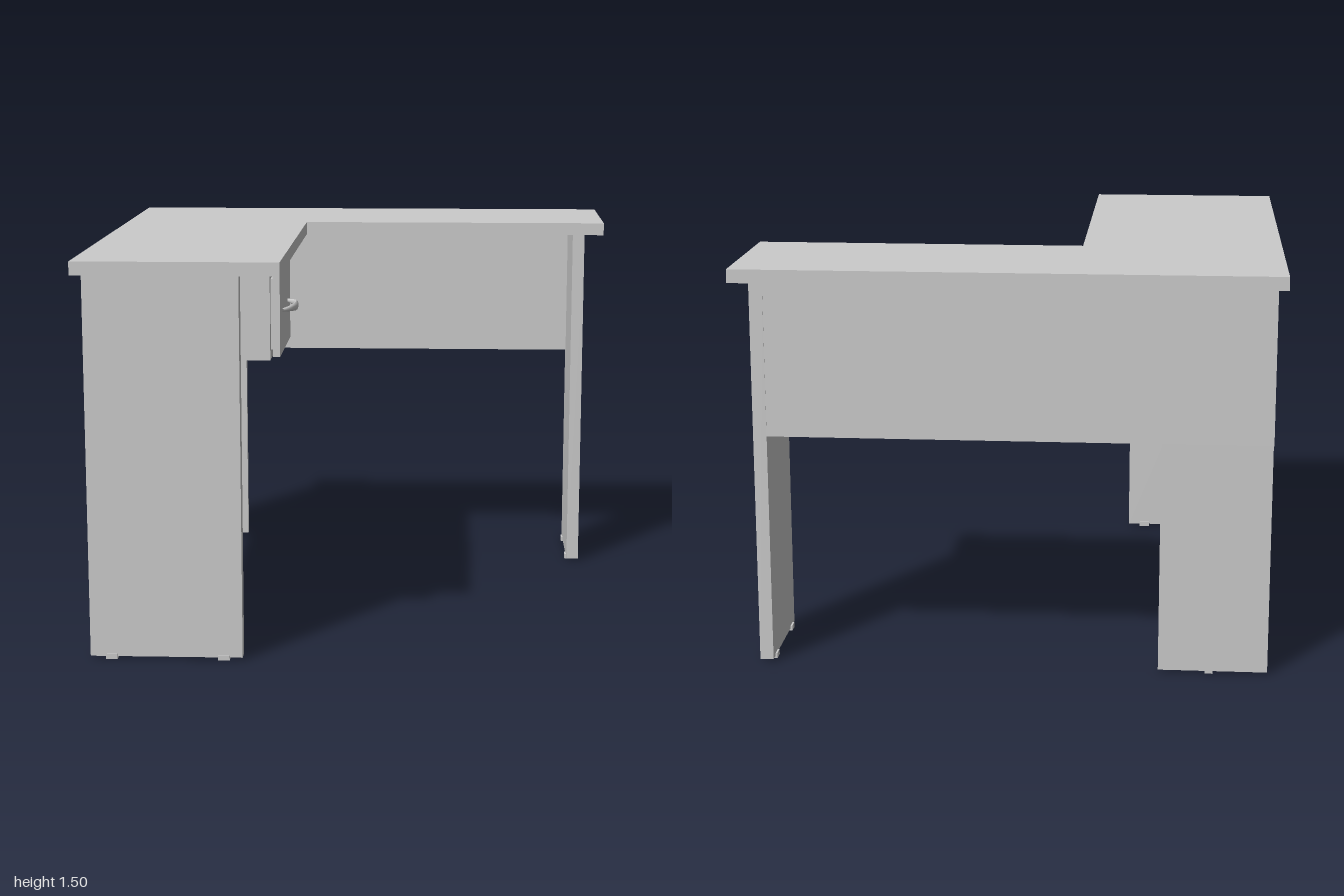
import * as THREE from 'three';

const grey = new THREE.MeshStandardMaterial({ color: 0xcccccc });

// Box given by its minimum and maximum on each axis
function board(group, name, [x0, x1], [y0, y1], [z0, z1]) {
  const mesh = new THREE.Mesh(new THREE.BoxGeometry(x1 - x0, y1 - y0, z1 - z0), grey);
  mesh.position.set((x0 + x1) / 2, (y0 + y1) / 2, (z0 + z1) / 2);
  mesh.name = name;
  group.add(mesh);
}

// L-shaped worktop
function worktop() {
  const outline = [[-1, -1], [1, -1], [1, -0.395], [-0.245, -0.395], [-0.245, 1], [-1, 1]];
  const shape = new THREE.Shape(outline.map(([x, z]) => new THREE.Vector2(x, -z)));
  const geometry = new THREE.ExtrudeGeometry(shape, { depth: 0.05, bevelEnabled: false });
  geometry.rotateX(-Math.PI / 2);
  const mesh = new THREE.Mesh(geometry, grey);
  mesh.position.y = 1.45;
  mesh.name = 'worktop';
  return mesh;
}

// Bowed drawer pull, deepest in the middle and tapering to its ends
function drawerHandle() {
  const bow = new THREE.QuadraticBezierCurve3(
    new THREE.Vector3(-0.257, 0, 0.49),
    new THREE.Vector3(-0.173, 0, 0.62),
    new THREE.Vector3(-0.257, 0, 0.75)
  );
  const geometry = new THREE.TubeGeometry(bow, 24, 0.008, 10);
  const pos = geometry.attributes.position;
  for (let i = 0; i < pos.count; i++) {
    const t = Math.min(1, Math.abs(pos.getZ(i) - 0.62) / 0.13);
    pos.setY(i, pos.getY(i) * (2.3 - 1.5 * t));
  }
  geometry.computeVertexNormals();
  const mesh = new THREE.Mesh(geometry, grey);
  mesh.position.y = 1.293;
  mesh.name = 'drawerHandle';
  return mesh;
}

export function createModel() {
  const desk = new THREE.Group();
  desk.name = 'cornerDesk';
  desk.add(worktop());

  // End legs
  board(desk, 'frontLeg', [-0.97, -0.4], [0.01, 1.45], [0.87, 0.925]);
  board(desk, 'sideLeg', [0.88, 0.93], [0.01, 1.45], [-0.96, -0.54]);

  // Modesty panels under the two outer edges
  board(desk, 'backPanel', [-0.965, 0.88], [0.875, 1.45], [-0.958, -0.928]);
  board(desk, 'sidePanel', [-0.965, -0.935], [0.875, 1.45], [-0.928, 0.87]);

  // Corner leg of two boards
  board(desk, 'cornerLegBack', [-0.963, -0.56], [0.01, 0.875], [-0.956, -0.93]);
  board(desk, 'cornerLegSide', [-0.963, -0.937], [0.01, 0.875], [-0.93, -0.555]);

  // Feet
  for (const x of [-0.89, -0.47])
    board(desk, 'frontFoot', [x - 0.022, x + 0.022], [0, 0.02], [0.865, 0.93]);
  for (const z of [-0.6, -0.9])
    board(desk, 'sideFoot', [0.873, 0.932], [0, 0.02], [z - 0.022, z + 0.022]);
  board(desk, 'cornerFoot', [-0.762, -0.733], [0, 0.012], [-0.957, -0.93]);
  board(desk, 'cornerFoot', [-0.957, -0.932], [0, 0.012], [-0.73, -0.7]);

  // Drawer
  const drawer = new THREE.Group();
  drawer.name = 'drawer';
  board(drawer, 'drawerCase', [-0.9, -0.292], [1.125, 1.45], [0.37, 0.87]);
  board(drawer, 'drawerBox', [-0.292, -0.283], [1.16, 1.42], [0.4, 0.84]);
  board(drawer, 'drawerFront', [-0.283, -0.257], [1.135, 1.445], [0.38, 0.855]);
  drawer.add(drawerHandle());
  desk.add(drawer);

  return desk;
}
